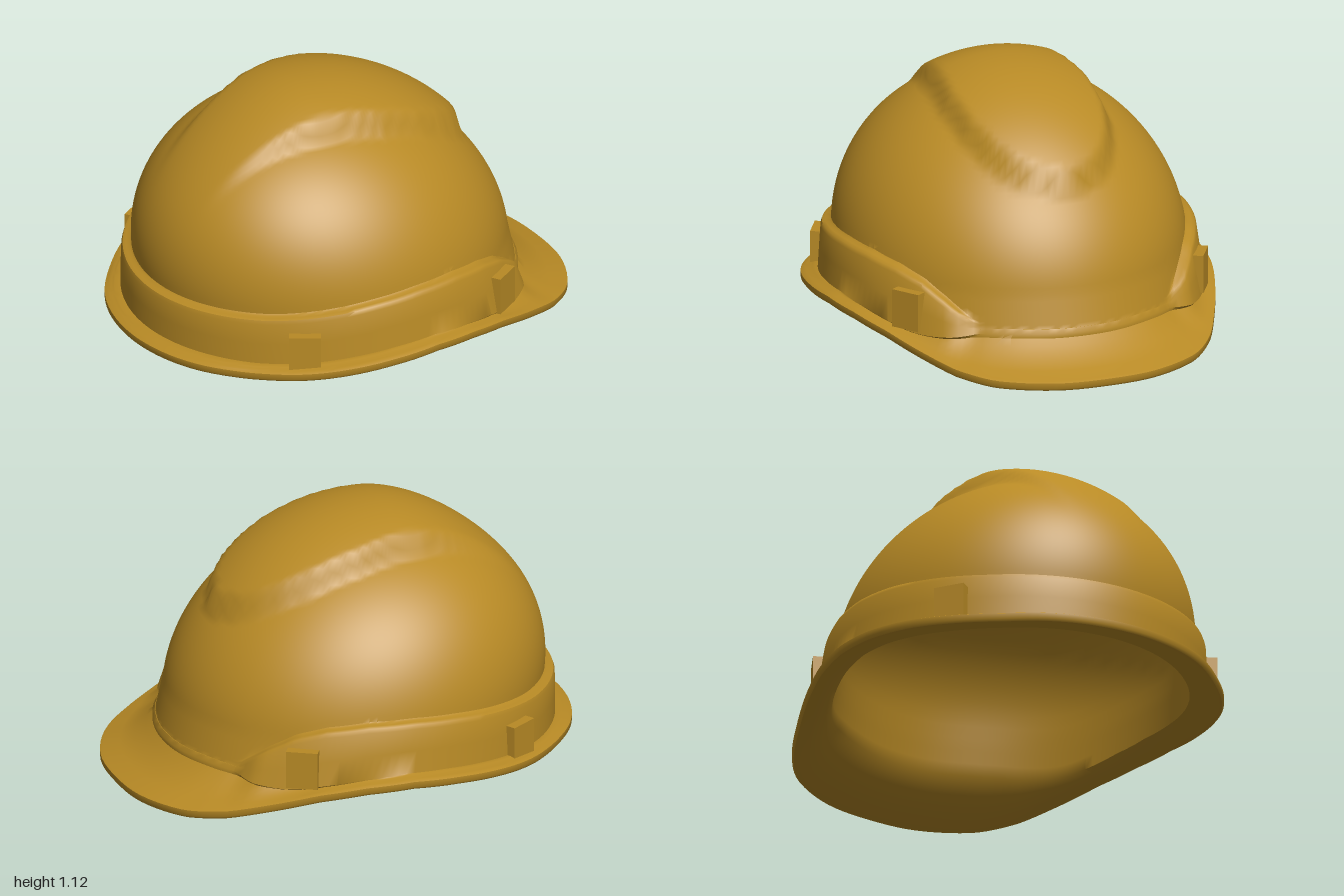
import * as THREE from 'three';
import { toCreasedNormals } from 'three/addons/utils/BufferGeometryUtils.js';

const COLS = 144, LEVELS = 44;
const A = 0.81, B = 0.735, Y0 = 0.34, H = 0.7; // dome half length, half width, spring line, height

const smooth = (x, a, b) => THREE.MathUtils.smoothstep(x, a, b);

// Smooth lookup in a short table of [x, y], x ascending
function table(points) {
  return (x) => {
    if (x <= points[0][0]) return points[0][1];
    for (let i = 1; i < points.length; i++) {
      const [x0, y0] = points[i - 1], [x1, y1] = points[i];
      if (x <= x1) return y0 + ((y1 - y0) * (x - x0)) / (x1 - x0);
    }
    return points[points.length - 1][1];
  };
}

// Height of the brim's lower edge, of the side band's top, and half width of the crown ridge, from back to front
const brimBottom = table([[-0.93, 0.095], [-0.7, 0.1], [-0.54, 0.112], [-0.36, 0.13], [-0.15, 0.148], [0.06, 0.157],
  [0.26, 0.145], [0.45, 0.115], [0.63, 0.07], [0.8, 0.03], [0.94, 0.008], [1.07, 0]]);
const bandTop = table([[-0.87, 0.34], [-0.6, 0.357], [-0.4, 0.38], [-0.18, 0.405], [0.03, 0.42], [0.23, 0.42],
  [0.4, 0.4], [0.51, 0.365], [0.6, 0.3], [0.68, 0.225], [0.76, 0.15]]);
const ridgeWidth = table([[-0.75, 0.18], [-0.55, 0.22], [-0.2, 0.29], [0.1, 0.33], [0.3, 0.32], [0.43, 0.28],
  [0.52, 0.23], [0.58, 0.17], [0.62, 0.08], [0.65, -0.04]]);

// Brim outline, one half, front to back
const half = [[1.075, 0], [1.05, 0.23], [0.945, 0.447], [0.817, 0.567], [0.634, 0.668], [0.448, 0.75], [0.257, 0.815],
  [0.06, 0.85], [-0.144, 0.85], [-0.361, 0.797], [-0.536, 0.7], [-0.706, 0.54], [-0.83, 0.375], [-0.9, 0.2], [-0.926, 0]];
const outline = new THREE.CatmullRomCurve3(
  [...half, ...half.slice(1, -1).reverse().map(([x, z]) => [x, -z])].map(([x, z]) => new THREE.Vector3(x, 0, z)), true);

// One cross-section, from the inside crown down to the brim edge and up to the outside crown
function section(i) {
  const rim = outline.getPoint(i / COLS);
  const R = Math.hypot(rim.x, rim.z), c = rim.x / R, s = rim.z / R;
  const re = 1 / Math.hypot(c / A, s / B);
  const pts = [];
  const polar = (r, y, shift = 0) => pts.push([r * c + shift, y, r * s]);

  const low = brimBottom(rim.x), top = low + 0.04;
  const front = smooth(rim.x, 0.45, 1.02);
  const foot = top + 0.012 + 0.125 * front;
  const rawTop = bandTop(re * 1.05 * c);
  const yb = Math.max(rawTop, foot + 0.04);
  const band = smooth(rawTop - foot, 0.03, 0.13);

  const scaleAt = (y) => (y > Y0 ? Math.sqrt(Math.max(0, 1 - ((y - Y0) / H) ** 2)) : 1 + 0.12 * (Y0 - y));
  const wall = (y, out) => polar(re * scaleAt(y) + out, y, (-0.09 * (y - Y0)) / H);

  // Inside of the shell
  const yi = foot - 0.02, f0 = Math.asin((yi - Y0) / H);
  for (let j = 24; j >= 0; j--) {
    const f = f0 + ((Math.PI / 2 - f0) * j) / 24, y = Y0 + H * Math.sin(f);
    const k = j === 24 ? 0 : scaleAt(y);
    polar(re * 0.965 * k, y - 0.03 * smooth(y, 0.3, 0.9), (-0.09 * (y - Y0)) / H);
  }
  // Underside, edge and top of the brim
  const rf = re * scaleAt(foot) + 0.05 * band + 0.01 * front;
  const ri = re * 0.975;
  for (const t of [0.3, 0.65]) polar(ri + (R - ri) * t, yi + (low - yi) * (1 - (1 - t) ** 1.5));
  polar(R - 0.008, low);
  polar(R, low + 0.01);
  polar(R, top - 0.006);
  polar(R - 0.012, top);
  for (const t of [0.35, 0.6, 0.8, 0.92]) polar(R + (rf - R) * t, top + (foot - top) * t ** 1.8);
  // Side band with a rounded top ledge, fading into the wall at the front
  wall(foot, 0.05 * band + 0.01 * front);
  wall(foot + (yb - foot) * 0.45, 0.048 * band + 0.002 * front);
  wall(yb - 0.022, 0.044 * band);
  wall(yb - 0.006, 0.038 * band);
  wall(yb, 0.024 * band);
  wall(yb + 0.002, 0.008 * band);
  // Dome with its raised crown ridge
  const g0 = Math.asin((yb + 0.008 - Y0) / H);
  for (let j = 0; j <= LEVELS; j++) {
    const f = g0 + ((Math.PI / 2 - g0) * j) / LEVELS, y = Y0 + H * Math.sin(f);
    const k = j === LEVELS ? 0 : scaleAt(y), shift = (-0.09 * (y - Y0)) / H;
    const u = re * k * c + shift, v = re * k * s;
    const inside = smooth(ridgeWidth(u) - Math.abs(v), -0.025, 0.03);
    const lift = y > 0.5 ? 0.08 * inside * smooth(u, -0.75, -0.1) : 0;
    pts.push([u, y + lift, v]);
  }
  return pts;
}

function shellGeometry() {
  const sections = Array.from({ length: COLS }, (_, i) => section(i));
  const rows = sections[0].length, index = [];
  for (let i = 0; i < COLS; i++) {
    for (let j = 0; j < rows - 1; j++) {
      const a = i * rows + j, b = ((i + 1) % COLS) * rows + j;
      if (j > 0) index.push(a, a + 1, b);
      if (j < rows - 2) index.push(b, a + 1, b + 1);
    }
  }
  const geo = new THREE.BufferGeometry();
  geo.setAttribute('position', new THREE.Float32BufferAttribute(sections.flat(2), 3));
  geo.setIndex(index);
  return toCreasedNormals(geo, 0.8);
}

export function createModel() {
  const yellow = new THREE.MeshStandardMaterial({ color: 0xb88a25 });
  yellow.name = 'safety yellow';

  const model = new THREE.Group();
  model.name = 'hardHat';
  const hat = new THREE.Group();
  hat.name = 'hatBody';
  hat.position.x = -0.075;
  hat.rotation.y = THREE.MathUtils.degToRad(-12.5);
  model.add(hat);

  const shell = new THREE.Mesh(shellGeometry(), yellow);
  shell.name = 'shell';
  hat.add(shell);

  // Four accessory slots on the side band
  for (const x of [0.49, -0.49]) {
    for (const z of [0.665, -0.665]) {
      const slot = new THREE.Mesh(new THREE.BoxGeometry(0.135, x > 0 ? 0.165 : 0.155, 0.045), yellow);
      slot.name = (x > 0 ? 'front' : 'back') + (z > 0 ? 'Right' : 'Left') + 'Slot';
      slot.position.set(x, x > 0 ? 0.245 : 0.225, z);
      slot.rotation.y = Math.atan2(x / A ** 2, z / B ** 2);
      hat.add(slot);
    }
  }
  return model;
}
